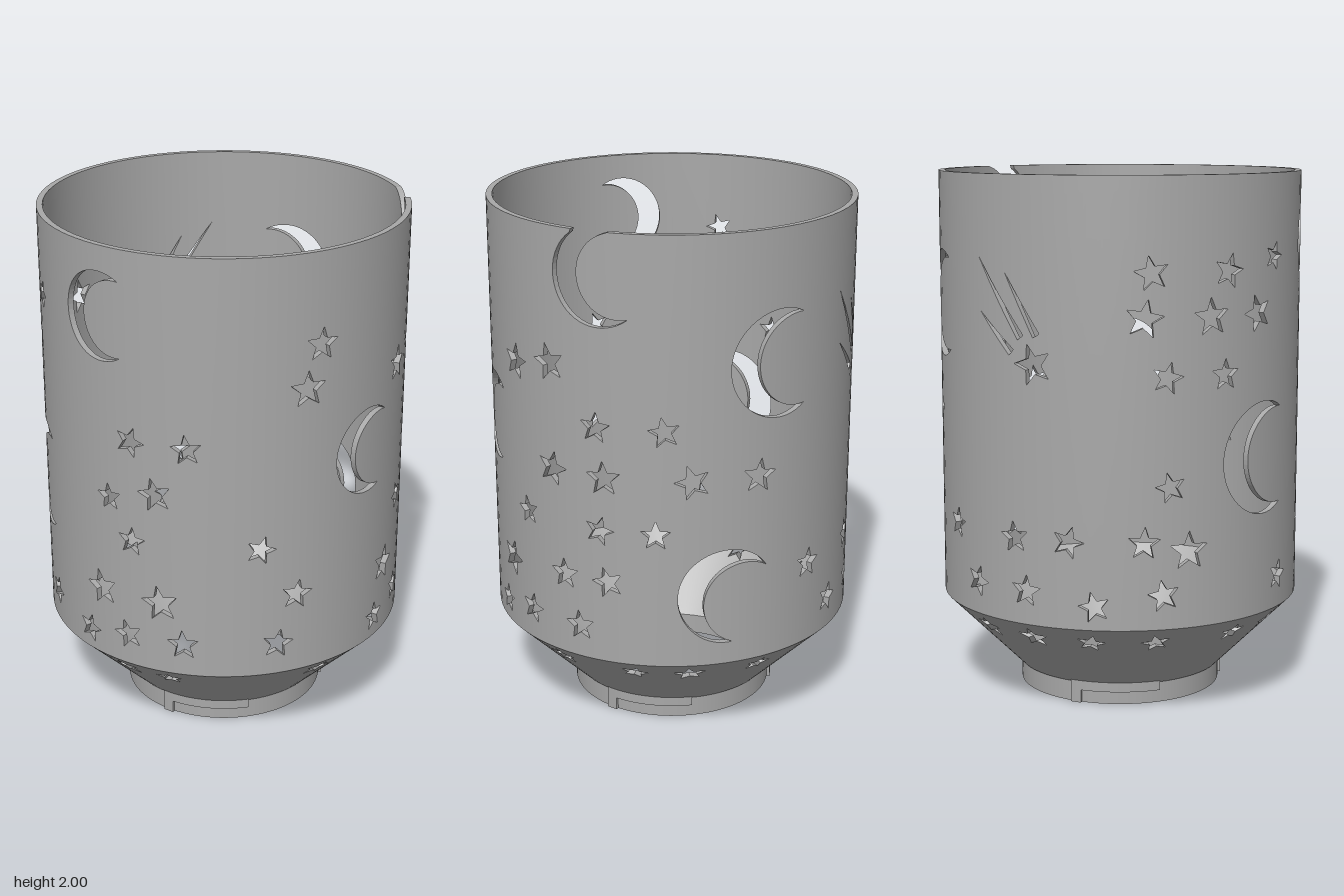
import * as THREE from 'three';

const R = 0.69, RI = 0.667, DEG = Math.PI / 180;
const STEP = 3.75 * DEG * R;            // width of one facet column on the unrolled wall
const SHOULDER = 0.375, NECK = 0.08;    // heights where the cone starts and ends

const grey = new THREE.MeshStandardMaterial({ color: 0xa8a8a8 });
grey.name = 'grey plastic';

const P2 = (x, y) => new THREE.Vector2(x, y);
const tiltOf = i => ((i * 37) % 11 - 5) * 0.06;
// Distance along the unrolled wall for an angle from the front, kept right of the seam
const at = (deg, seam) => (((deg - seam) % 360 + 360) % 360 + seam) * DEG * R;

// Five-pointed star outline on the unrolled wall
function star(u, v, r, tilt, stretch = 1) {
  const pts = [];
  for (let i = 0; i < 10; i++) {
    const a = Math.PI / 2 + tilt + i * Math.PI / 5, q = i % 2 ? r * 0.43 : r;
    pts.push(P2(u + q * Math.cos(a) * stretch, v + q * Math.sin(a)));
  }
  return pts;
}

// Crescent opening to the right: outer arc from upper tip to lower tip, inner arc back
function moon(u, v, r, tilt) {
  const pts = [], a0 = 58.6 * DEG, ri = 0.86 * r, off = 0.41 * r, n = 36;
  const b0 = Math.atan2(r * Math.sin(a0), r * Math.cos(a0) - off);
  const add = (x, y) => pts.push(P2(
    u + x * Math.cos(tilt) - y * Math.sin(tilt), v + x * Math.sin(tilt) + y * Math.cos(tilt)));
  for (let i = 0; i <= n; i++) {
    const a = a0 + (2 * Math.PI - 2 * a0) * i / n;
    add(r * Math.cos(a), r * Math.sin(a));
  }
  for (let i = 1; i < n; i++) {
    const a = -b0 - (2 * Math.PI - 2 * b0) * i / n;
    add(off + ri * Math.cos(a), ri * Math.sin(a));
  }
  return pts;
}

// Extrudes an unrolled wall with holes, cuts it into columns and bends it round the axis.
// profile(v, d) gives [radius, height]; d is 0 inside and 1 outside. lean is the wall's slope.
function bentWall(name, outline, holes, profile, lean) {
  const shape = new THREE.Shape(outline);
  holes.forEach(h => shape.holes.push(new THREE.Path(h)));
  const flat = new THREE.ExtrudeGeometry(shape, { depth: 1, bevelEnabled: false });
  const P = flat.attributes.position, N = flat.attributes.normal, pos = [], nor = [];
  const lo = Math.min(...outline.map(p => p.x)), hi = Math.max(...outline.map(p => p.x));

  const clip = (poly, x, s) => {
    const out = [];
    poly.forEach((a, i) => {
      const b = poly[(i + 1) % poly.length], da = (a.x - x) * s, db = (b.x - x) * s;
      if (da >= 0) out.push(a);
      if ((da > 0 && db < 0) || (da < 0 && db > 0)) out.push(a.clone().lerp(b, da / (da - db)));
    });
    return out;
  };
  const emit = (p, n) => {
    const t = p.x / R, s = Math.sin(t), c = Math.cos(t), [r, y] = profile(p.y, p.z);
    pos.push(r * s, y, r * c);
    const out = n.z * Math.cos(lean) + n.y * Math.sin(lean);
    nor.push(n.x * c + out * s, n.y * Math.cos(lean) - n.z * Math.sin(lean), -n.x * s + out * c);
  };

  for (let i = 0; i < P.count; i += 3) {
    const tri = [0, 1, 2].map(k => new THREE.Vector3().fromBufferAttribute(P, i + k));
    const n = new THREE.Vector3().fromBufferAttribute(N, i);
    const xs = tri.map(p => p.x), min = Math.min(...xs), max = Math.max(...xs);
    if (max < lo + 1e-5 || min > hi - 1e-5) continue;   // closed seam needs no end faces
    const k0 = Math.floor((min + 1e-5) / STEP);
    const k1 = Math.max(k0, Math.ceil((max - 1e-5) / STEP) - 1);
    for (let k = k0; k <= k1; k++) {
      const poly = k0 === k1 ? tri : clip(clip(tri, k * STEP, 1), (k + 1) * STEP, -1);
      for (let j = 1; j + 1 < poly.length; j++) [poly[0], poly[j], poly[j + 1]].forEach(p => emit(p, n));
    }
  }
  const g = new THREE.BufferGeometry();
  g.setAttribute('position', new THREE.Float32BufferAttribute(pos, 3));
  g.setAttribute('normal', new THREE.Float32BufferAttribute(nor, 3));
  const mesh = new THREE.Mesh(g, grey);
  mesh.name = name;
  return mesh;
}

// Block that follows the neck ring between two heights and angles
function arcBlock(name, y0, y1, from, to) {
  const s = new THREE.Shape(), a = (from - 90) * DEG, b = (to - 90) * DEG;
  s.absarc(0, 0, 0.402, a, b, false);
  s.absarc(0, 0, 0.37, b, a, true);
  const g = new THREE.ExtrudeGeometry(s, { depth: y1 - y0, bevelEnabled: false, curveSegments: 16 });
  g.rotateX(-Math.PI / 2).translate(0, y0, 0);
  const m = new THREE.Mesh(g, grey);
  m.name = name;
  return m;
}

// Cylinder with stars, moons and a shooting star cut through it
function cylinderWall() {
  const seam = -97.5, holes = [];

  // Rows of stars: height, size, then angles from the front
  const row = (y, size, ...angles) =>
    angles.forEach(a => holes.push(star(at(a, seam), y, size, tiltOf(holes.length))));
  row(1.7, .055, 247);
  row(1.66, .065, -9, 202, 227);
  row(1.5, .072, -13.4, 44.5, 200, 221, 239);
  row(1.46, .07, 28.6);
  row(1.29, .06, -50, -68, 60.5, 81.6, 207, 226);
  row(1.1, .068, -60, 45, 63, 90, 111);
  row(1.05, .055, -76);
  row(.895, .058, -27.6, -68, 33.4, 61.5, 79, 208);
  row(.695, .062, -16, 49, 64, 131, 159, 177, 200);
  row(.66, .075, -58.8, 23, 214, 280);
  row(.5, .062, -22, -51.5, -70, 34.5, 54.4, 143, 163, 206, 252);
  row(.46, .06, 17.7, 185, 274);

  // Crescent moons: angle, height, radius, tilt
  [[11, 1.19, .167, -7], [118, 1.51, .2, 2], [101, .645, .185, -25], [243, .965, .21, 0], [-78, 1.74, .165, 0]]
    .forEach(([a, y, r, t]) => holes.push(moon(at(a, seam), y, r, t * DEG)));

  // Shooting star with three tapering tails
  const su = at(166, seam), sv = 1.33;
  holes.push(star(su, sv, .078, 0.3));
  [[-.25, .38, -.05, .095], [-.12, .33, .015, .105], [-.24, .18, -.09, .04]].forEach(([tx, ty, bx, by]) => {
    const d = P2(tx - bx, ty - by).normalize().multiplyScalar(.015);
    holes.push([P2(su + tx, sv + ty), P2(su + bx - d.y, sv + by + d.x), P2(su + bx + d.y, sv + by - d.x)]);
  });

  // One more moon breaks through the rim as a notch
  const notch = moon(at(62, seam), 1.84, .18, 6 * DEG).filter(p => p.y < 1.998).reverse();
  notch.unshift(P2(notch[0].x + .004, 2));
  notch.push(P2(notch[notch.length - 1].x + .004, 2));

  const l = seam * DEG * R, r = l + 2 * Math.PI * R;
  const outline = [P2(l, SHOULDER), P2(r, SHOULDER), P2(r, 2), ...notch, P2(l, 2)];
  return bentWall('cylinderWall', outline, holes, (v, d) => [RI + d * (R - RI), v], 0);
}

// Cone below the cylinder with its ring of stars
function coneWall() {
  const seam = -90, len = (SHOULDER - NECK) * Math.SQRT2;
  const l = seam * DEG * R, r = l + 2 * Math.PI * R;
  const holes = [-177, 162, -155, 141, -125, -104, 115, 90, 71, 42.5, 22, -4, -58, -75]
    .map((a, i) => star(at(a, seam), .32, i % 2 ? .063 : .055, tiltOf(i + 3), 1.13));
  return bentWall('coneWall', [P2(l, 0), P2(r, 0), P2(r, len), P2(l, len)], holes, (v, d) => {
    const t = v / len, inner = .345 + t * (RI - .345), outer = .395 + t * (R - .395);
    return [inner + d * (outer - inner), NECK + t * (SHOULDER - NECK)];
  }, Math.PI / 4);
}

// Neck ring made of separate strips so its edges stay sharp
function neckRing() {
  const ring = new THREE.Group();
  ring.name = 'neckRing';
  const corners = [P2(.345, NECK), P2(.345, 0), P2(.39, 0), P2(.39, NECK)];
  corners.forEach((p, i) => {
    const m = new THREE.Mesh(new THREE.LatheGeometry([p, corners[(i + 1) % 4]], 96), grey);
    m.name = 'neckRingFace';
    ring.add(m);
  });
  return ring;
}

export function createModel() {
  const group = new THREE.Group();
  group.name = 'starLantern';
  group.add(cylinderWall(), coneWall(), neckRing());

  // Three twist-lock tabs, each with a stop at one end
  for (const a of [70, 190, 310]) {
    group.add(arcBlock('lockTab', .05, .1, a - 25, a + 25));
    group.add(arcBlock('lockStop', 0, .05, a - 25, a - 19));
  }
  return group;
}
